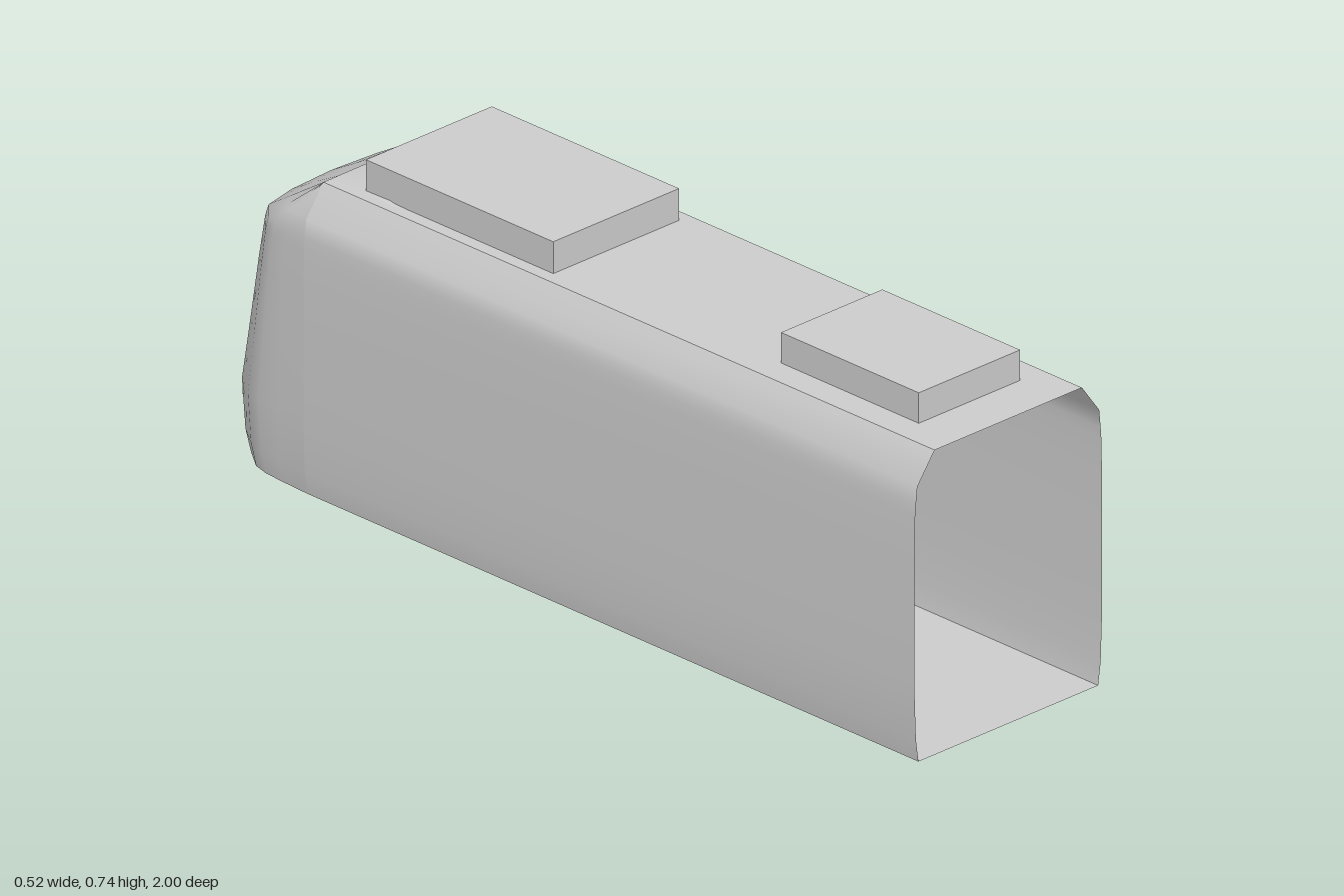
import * as THREE from 'three';

// Height, half width and nose depth at each level of the shell
const LEVELS = [
  [0, 0.25, 0.25], [0.05, 0.257, 0.262], [0.16, 0.261, 0.27], [0.3, 0.261, 0.242],
  [0.45, 0.261, 0.213], [0.54, 0.259, 0.195], [0.565, 0.257, 0.186],
  [0.605, 0.253, 0.115], [0.67, 0.205, 0],
];
// Plan of the nose: fraction of half width, fraction of depth
const HALF_PLAN = [[1, 0], [0.985, 0.3], [0.97, 0.5], [0.93, 0.65], [0.78, 0.86], [0.46, 0.96]];
const PLAN = [...HALF_PLAN, [0, 1], ...HALF_PLAN.map(([x, d]) => [-x, d]).reverse()];

const TAIL = 1, SEAM = -0.73, ROOF = 0.67;

// Smooth surface through rows of points
function surface(rows) {
  const n = rows[0].length, index = [];
  for (let i = 0; i < rows.length - 1; i++) {
    for (let j = 0; j < n - 1; j++) {
      const a = i * n + j, b = a + n;
      index.push(a, a + 1, b + 1, a, b + 1, b);
    }
  }
  const geometry = new THREE.BufferGeometry();
  geometry.setAttribute('position', new THREE.Float32BufferAttribute(rows.flat(2), 3));
  geometry.setIndex(index);
  geometry.computeVertexNormals();
  return geometry;
}

export function createModel() {
  const group = new THREE.Group();
  const grey = new THREE.MeshStandardMaterial({ color: 0xcccccc, side: THREE.DoubleSide });
  grey.name = 'shell grey';

  const add = (name, geometry) => {
    const mesh = new THREE.Mesh(geometry, grey);
    mesh.name = name;
    group.add(mesh);
    return mesh;
  };

  // Long side walls, curving in at sill and roof
  add('leftWall', surface(LEVELS.map(([y, w]) => [[w, y, TAIL], [w, y, SEAM]])));
  add('rightWall', surface(LEVELS.map(([y, w]) => [[-w, y, SEAM], [-w, y, TAIL]])));

  // Flat roof and floor; the +z end stays open
  const roofW = LEVELS[LEVELS.length - 1][1], floorW = LEVELS[0][1];
  add('roof', surface([TAIL, SEAM].map(z => [[-roofW, ROOF, z], [roofW, ROOF, z]])));
  add('floor', surface([SEAM, TAIL].map(z => [[-floorW, 0, z], [floorW, 0, z]])));

  // Rounded nose with sloping windscreen and brow
  const ring = ([y, w, d]) => PLAN.map(([px, pd]) => [px * w, y, SEAM - pd * d]);
  add('nose', surface(LEVELS.map(ring)));
  const rim = ring(LEVELS[0]);
  add('noseFloor', surface([rim.map(([x]) => [x, 0, SEAM]), rim]));

  // Low fairing running from the nose up under the front roof unit
  const fairing = [[-0.5, 0.17, 0.002], [-0.56, 0.185, 0.008], [-0.64, 0.18, 0.03], [-0.73, 0.2, 0.001]];
  add('roofFairing', surface(fairing.map(([z, w, h]) =>
    [[-1, 0], [-0.6, 0.85], [0, 1], [0.6, 0.85], [1, 0]].map(([x, k]) => [x * w, ROOF + h * k, z]))));

  // Roof equipment boxes: half width, top, rear z, front z
  [['largeRoofUnit', 0.175, 0.74, -0.64, -0.11], ['smallRoofUnit', 0.141, 0.737, 0.5, 0.89]]
    .forEach(([name, w, top, z0, z1]) => {
      const box = add(name, new THREE.BoxGeometry(w * 2, top - ROOF, z1 - z0));
      box.position.set(0, (top + ROOF) / 2, (z0 + z1) / 2);
    });

  // Small five-sided lamps set into the nose corners
  for (const side of [1, -1]) {
    const lamp = add(side > 0 ? 'leftLamp' : 'rightLamp', new THREE.CylinderGeometry(0.018, 0.018, 0.008, 5));
    lamp.position.set(side * 0.198, 0.14, -0.959);
    lamp.quaternion.setFromUnitVectors(
      new THREE.Vector3(0, 1, 0), new THREE.Vector3(side * 0.65, 0, -0.76).normalize());
  }

  return group;
}
